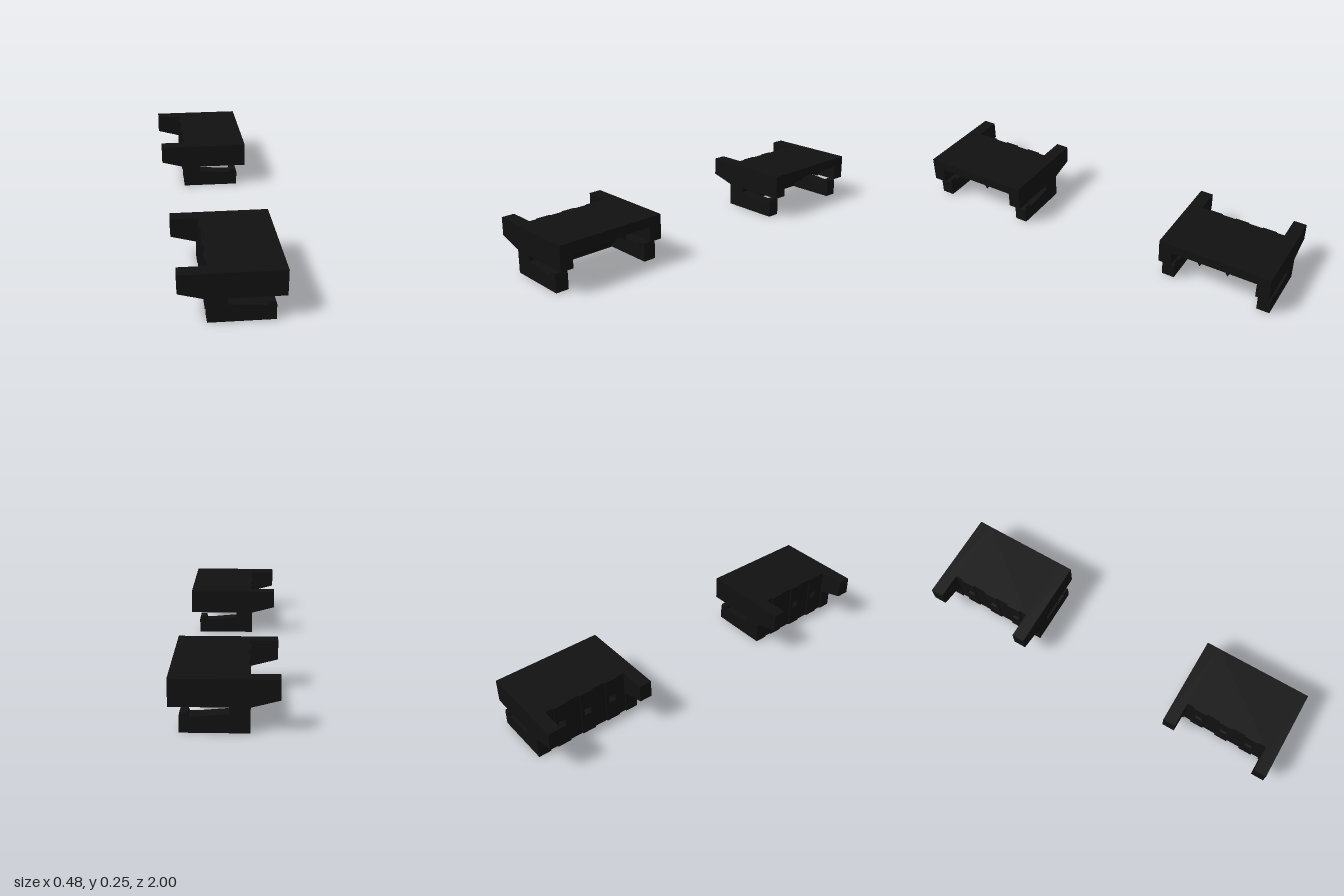
import * as THREE from 'three';

const mat = new THREE.MeshStandardMaterial({ color: 0x111111, flatShading: true });
const HALF = 0.29;    // half width of one housing
const WALL = 0.067;   // side wall thickness
const INNER = HALF - WALL;
const PITCH = 0.145;  // spacing of the contact windows

function add(group, geometry, name) {
  const mesh = new THREE.Mesh(geometry, mat);
  mesh.name = name;
  group.add(mesh);
}

// Extrude an (x, y) outline along z, starting at z0
function alongZ(points, z0, depth) {
  const shape = new THREE.Shape(points.map(([x, y]) => new THREE.Vector2(x, y)));
  return new THREE.ExtrudeGeometry(shape, { depth, bevelEnabled: false }).translate(0, 0, z0);
}

// Upright plate facing +x, pierced by square windows at the given z positions
function plate(z0, z1, y0, y1, xFront, depth, windows) {
  const rect = (path, a, b, c, d) => path.moveTo(a, c).lineTo(b, c).lineTo(b, d).lineTo(a, d).closePath();
  const shape = new THREE.Shape();
  rect(shape, z0, z1, y0, y1);
  for (const z of windows) {
    const hole = new THREE.Path();
    rect(hole, z - 0.019, z + 0.019, 0.111, 0.148);
    shape.holes.push(hole);
  }
  return new THREE.ExtrudeGeometry(shape, { depth, bevelEnabled: false })
    .rotateY(-Math.PI / 2).translate(xFront, 0, 0);
}

function createHousing() {
  const g = new THREE.Group();

  // Side walls with a rear tab above and a hooked latch arm below
  const side = [
    [-0.24, 0.245], [-0.24, 0.152], [-0.112, 0.118], [-0.112, 0], [0.193, 0], [0.193, 0.076],
    [0.188, 0.093], [0.155, 0.093], [0.149, 0.076], [0.11, 0.076], [-0.022, 0.088],
    [-0.022, 0.118], [0.24, 0.118], [0.24, 0.245],
  ];
  add(g, alongZ(side, -HALF, WALL), 'sideWallBack');
  add(g, alongZ(side, INNER, WALL), 'sideWallFront');

  // Roof between the side walls
  add(g, new THREE.BoxGeometry(0.345, 0.05, 2 * INNER).translate(0.0675, 0.22, 0), 'roof');

  // Rear wall with three contact windows, each in a raised pad
  const windows = [-PITCH, 0, PITCH];
  add(g, plate(-INNER, INNER, 0, 0.195, -0.065, 0.04, windows), 'rearWall');
  for (const z of windows) add(g, plate(z - 0.037, z + 0.037, 0, 0.245, -0.105, 0.007, [z]), 'rearPad');

  // Chamfered ledge along the foot of the rear wall
  const ledge = [[-0.067, 0.088], [-0.067, 0.012], [-0.022, 0.05], [-0.022, 0.088]];
  add(g, alongZ(ledge, -INNER, 2 * INNER), 'ledge');

  // Wedge ribs under the roof, between the contacts
  for (const z of [-PITCH / 2, PITCH / 2]) {
    const rib = new THREE.Shape([
      new THREE.Vector2(z - 0.014, 0.196), new THREE.Vector2(z, 0.172), new THREE.Vector2(z + 0.014, 0.196),
    ]);
    add(g, new THREE.ExtrudeGeometry(rib, { depth: 0.3, bevelEnabled: false })
      .rotateY(-Math.PI / 2).translate(0.235, 0, 0), 'roofRib');
  }
  return g;
}

export function createModel() {
  const model = new THREE.Group();
  model.name = 'connectorHousings';
  // Two matching housings, set apart along z
  for (const s of [-1, 1]) {
    const housing = createHousing();
    housing.name = s > 0 ? 'frontHousing' : 'backHousing';
    housing.position.z = s * 0.71;
    model.add(housing);
  }
  return model;
}
